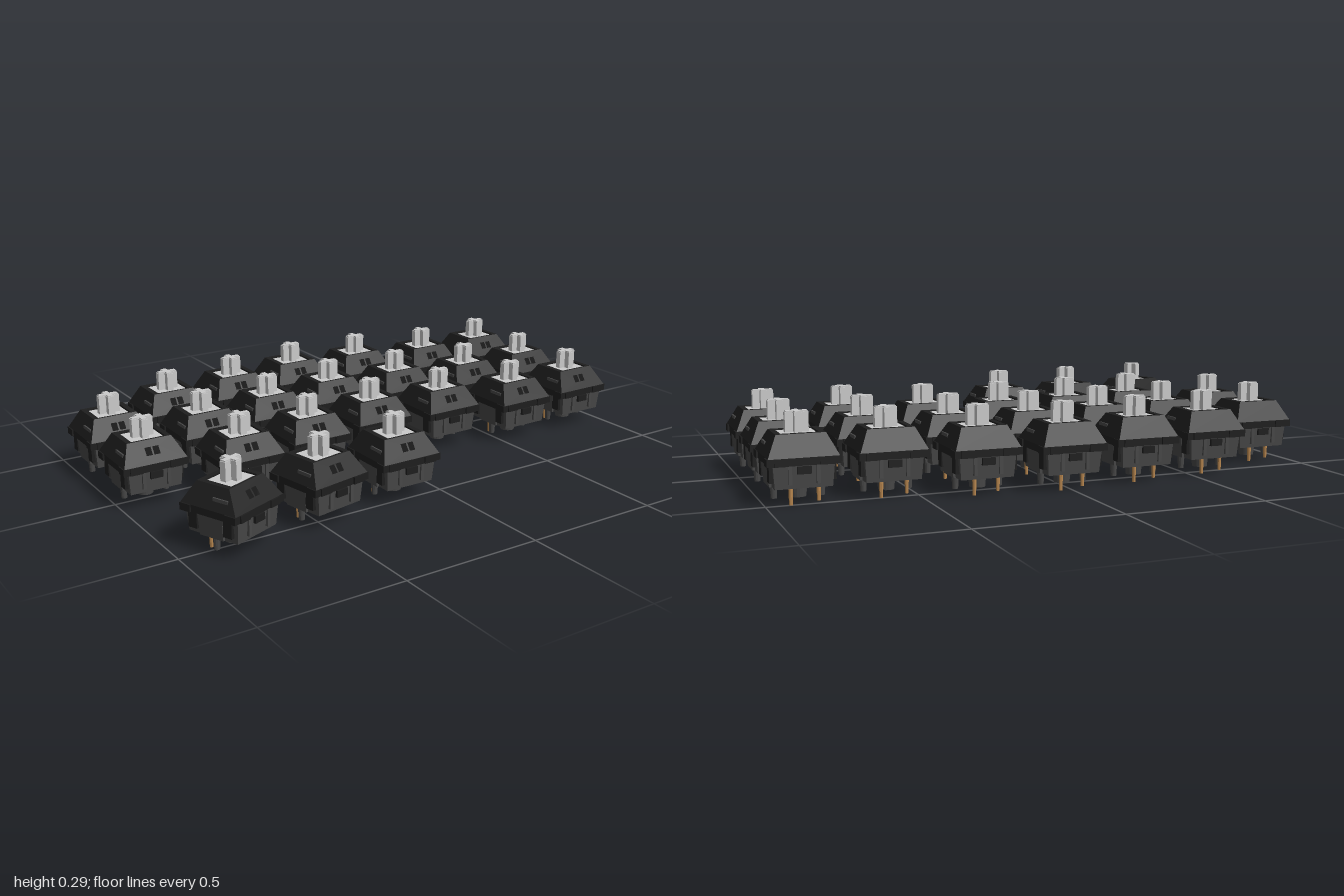
import * as THREE from 'three';

const mat = (color) => new THREE.MeshStandardMaterial({ color, flatShading: true, side: THREE.DoubleSide });
const DARK = mat(0x1e1e1e), GREY = mat(0x484848), STEM = mat(0xbdbdbd), METAL = mat(0xb8874f);

// Strips between rectangular sections [y, x half-width, back z, front z]; skip lists front panels to leave open
function loft(sections, skipFront = -1) {
  const pos = [], idx = [];
  for (const [y, x, zb, zf] of sections) pos.push(-x, y, zf, x, y, zf, x, y, zb, -x, y, zb);
  for (let s = 0; s < sections.length - 1; s++) {
    for (let i = 0; i < 4; i++) {
      if (s === skipFront && i === 0) continue;
      const a = s * 4 + i, b = s * 4 + (i + 1) % 4;
      idx.push(a, b, b + 4, a, b + 4, a + 4);
    }
  }
  const g = new THREE.BufferGeometry();
  g.setAttribute('position', new THREE.Float32BufferAttribute(pos, 3));
  g.setIndex(idx);
  const flat = g.toNonIndexed();
  flat.computeVertexNormals();
  return flat;
}

const outline = (pts) => new THREE.Shape(pts.map(([x, y]) => new THREE.Vector2(x, y)));

// Pair of lamp slots, as holes between two heights of the shape
function addSlots(shape, lo, hi) {
  for (const c of [-0.014, 0.014]) {
    shape.holes.push(new THREE.Path([[-0.011, lo], [-0.011, hi], [0.011, hi], [0.011, lo]]
      .map(([x, y]) => new THREE.Vector2(c + x, y))));
  }
  return shape;
}

// Plan shape (x, -z) raised between two heights
function slab(shape, y0, y1) {
  const g = new THREE.ExtrudeGeometry(shape, { depth: y1 - y0, bevelEnabled: false });
  return g.rotateX(-Math.PI / 2).translate(0, y0, 0);
}

// Mirrors a quarter outline into a closed four-way symmetrical one
function symmetric(quarter) {
  const back = [...quarter].reverse();
  return outline([
    ...quarter, ...back.map(([x, y]) => [-x, y]),
    ...quarter.map(([x, y]) => [-x, -y]), ...back.map(([x, y]) => [x, -y]),
  ]);
}

function createSwitch() {
  const sw = new THREE.Group();
  sw.name = 'keySwitch';
  const add = (name, geo, material, x = 0, y = 0, z = 0) => {
    const m = new THREE.Mesh(geo, material);
    m.name = name;
    m.position.set(x, y, z);
    sw.add(m);
    return m;
  };
  const box = (name, w, h, d, material, x, y, z) => add(name, new THREE.BoxGeometry(w, h, d), material, x, y, z);

  // Upper housing: sloped cap with a rectangular well for the stem
  const yLow = 0.155, yTop = 0.225, zLow = 0.111, zTop = 0.061;
  add('upperHousing', loft([
    [yLow, 0.114, -0.111, zLow], [yTop, 0.08, -0.07, zTop],
    [yTop, 0.061, -0.053, 0.053], [0.135, 0.061, -0.053, 0.053],
  ], 0), DARK);

  // Front slope with the lamp slots
  const slope = new THREE.ShapeGeometry(addSlots(
    outline([[-0.114, yLow], [0.114, yLow], [0.08, yTop], [-0.08, yTop]]), 0.18, 0.204));
  const p = slope.attributes.position;
  for (let i = 0; i < p.count; i++) p.setZ(i, zLow + (zTop - zLow) * (p.getY(i) - yLow) / (yTop - yLow));
  slope.computeVertexNormals();
  add('frontSlope', slope, DARK);

  // Mounting flange with proud corners
  const flange = symmetric([[0.112, 0], [0.112, 0.07], [0.118, 0.07], [0.118, 0.112],
    [0.095, 0.112], [0.095, 0.117], [0.05, 0.117], [0.05, 0.112]]);
  add('flange', slab(addSlots(flange, -0.092, -0.075), 0.13, yLow), DARK);

  // Lower housing, tapering towards the base
  const lower = slab(addSlots(symmetric([[0.107, 0], [0.107, 0.05], [0.098, 0.05], [0.098, 0.105]]),
    -0.094, -0.077), 0.056, 0.13);
  const q = lower.attributes.position;
  for (let i = 0; i < q.count; i++) {
    const k = q.getY(i) < 0.1 ? 0.94 : 1;
    q.setX(i, q.getX(i) * k);
    q.setZ(i, q.getZ(i) * k);
  }
  lower.computeVertexNormals();
  add('lowerHousing', lower, GREY);

  for (const s of [-1, 1]) {
    // Side clips of the cap, ledges and end ribs
    for (const t of [-1, 1]) {
      box('sideClip', 0.014, 0.056, 0.034, DARK, s * 0.1, 0.103, t * 0.07);
      box('endRib', 0.012, 0.06, 0.012, GREY, s * 0.045, 0.1, t * 0.104);
    }
    box('sideLedge', 0.008, 0.016, 0.06, GREY, s * 0.097, 0.185, 0.04);
    box('endLatch', 0.045, 0.024, 0.014, DARK, 0, 0.115, s * 0.106);
    // Plastic locating pegs
    add('locatingPeg', new THREE.CylinderGeometry(0.013, 0.01, 0.05, 12), GREY, s * 0.078, 0.035, 0);
  }
  add('centrePost', new THREE.CylinderGeometry(0.031, 0.027, 0.05, 20), GREY, 0, 0.037, 0);

  // Metal contact pins
  for (const [x, z] of [[-0.059, -0.039], [0.039, -0.078]]) {
    add('contactPin', new THREE.CylinderGeometry(0.008, 0.006, 0.07, 8), METAL, x, 0.035, z);
  }

  // Stem: platform in the well with a cross above it
  box('stemPlatform', 0.116, 0.07, 0.1, STEM, 0, 0.186, 0);
  const cross = symmetric([[0.038, 0], [0.038, 0.011], [0.012, 0.011], [0.012, 0.033]]);
  add('stemCross', slab(cross, 0.22, 0.286), STEM);
  const tip = symmetric([[0.035, 0], [0.035, 0.009], [0.01, 0.009], [0.01, 0.03]]);
  add('stemTip', slab(tip, 0.285, 0.29), STEM);
  return sw;
}

export function createModel() {
  const model = new THREE.Group();
  model.name = 'keySwitchLayout';
  const unit = createSwitch();
  const place = (x, z, angle = 0) => {
    const s = unit.clone();
    s.position.set(x, 0, z);
    s.rotation.y = THREE.MathUtils.degToRad(angle);
    model.add(s);
  };
  const pitch = 0.2935;

  // Staggered columns: [rear z, number of rows]
  [[-0.312, 2], [-0.455, 3], [-0.495, 3], [-0.531, 3], [-0.495, 3], [-0.421, 3], [-0.421, 3]]
    .forEach(([z, rows], c) => {
      for (let r = 0; r < rows; r++) place((c - 3) * pitch, z + r * pitch);
    });

  // Fanned thumb cluster
  place(-0.805, 0.49, 22);
  place(-0.468, 0.457, 11);
  place(-0.147, 0.424);
  return model;
}
